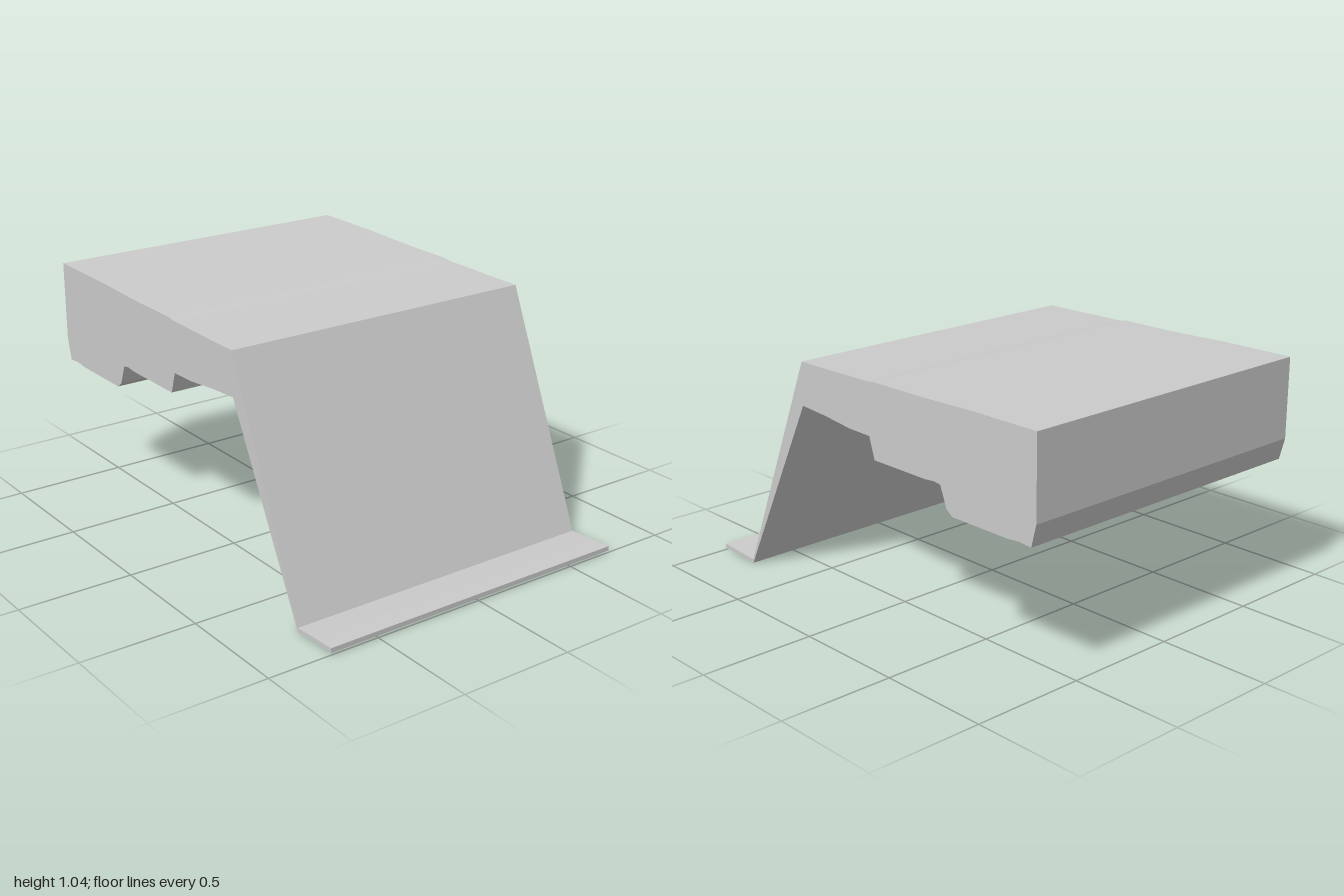
import * as THREE from 'three';

const DEPTH = 1.44;

// Cross-section in x, y, counter-clockwise from the lower left of the deck
const PROFILE = [
  // stepped underside
  [-1, 0.69], [-0.975, 0.595], [-0.91, 0.6], [-0.85, 0.594], [-0.55, 0.594],
  [-0.52, 0.617], [-0.485, 0.705], [-0.45, 0.71], [-0.4, 0.705], [-0.095, 0.705],
  [-0.065, 0.798], [0.06, 0.8], [0.22, 0.817], [0.365, 0.826],
  // sloping leg and foot
  [0.785, 0.002], [0.88, 0.008], [1, 0.011], [1, 0.031], [0.9, 0.026], [0.785, 0.019],
  // gently falling top
  [0.363, 1.015], [0.2, 1.016], [0.05, 1.019], [-0.06, 1.02], [-0.1, 1.026],
  [-0.35, 1.027], [-0.5, 1.031], [-0.65, 1.036], [-1, 1.038],
];

export function createModel() {
  const group = new THREE.Group();
  group.name = 'steppedDeck';

  // Sweep the section straight from back to front
  const shape = new THREE.Shape(PROFILE.map(([x, y]) => new THREE.Vector2(x, y)));
  const geometry = new THREE.ExtrudeGeometry(shape, { depth: DEPTH, bevelEnabled: false });
  geometry.translate(0, -0.002, -DEPTH / 2);

  const body = new THREE.Mesh(
    geometry,
    new THREE.MeshStandardMaterial({ color: 0xcccccc, flatShading: true }),
  );
  body.name = 'deckWithLegAndFoot';
  group.add(body);
  return group;
}
